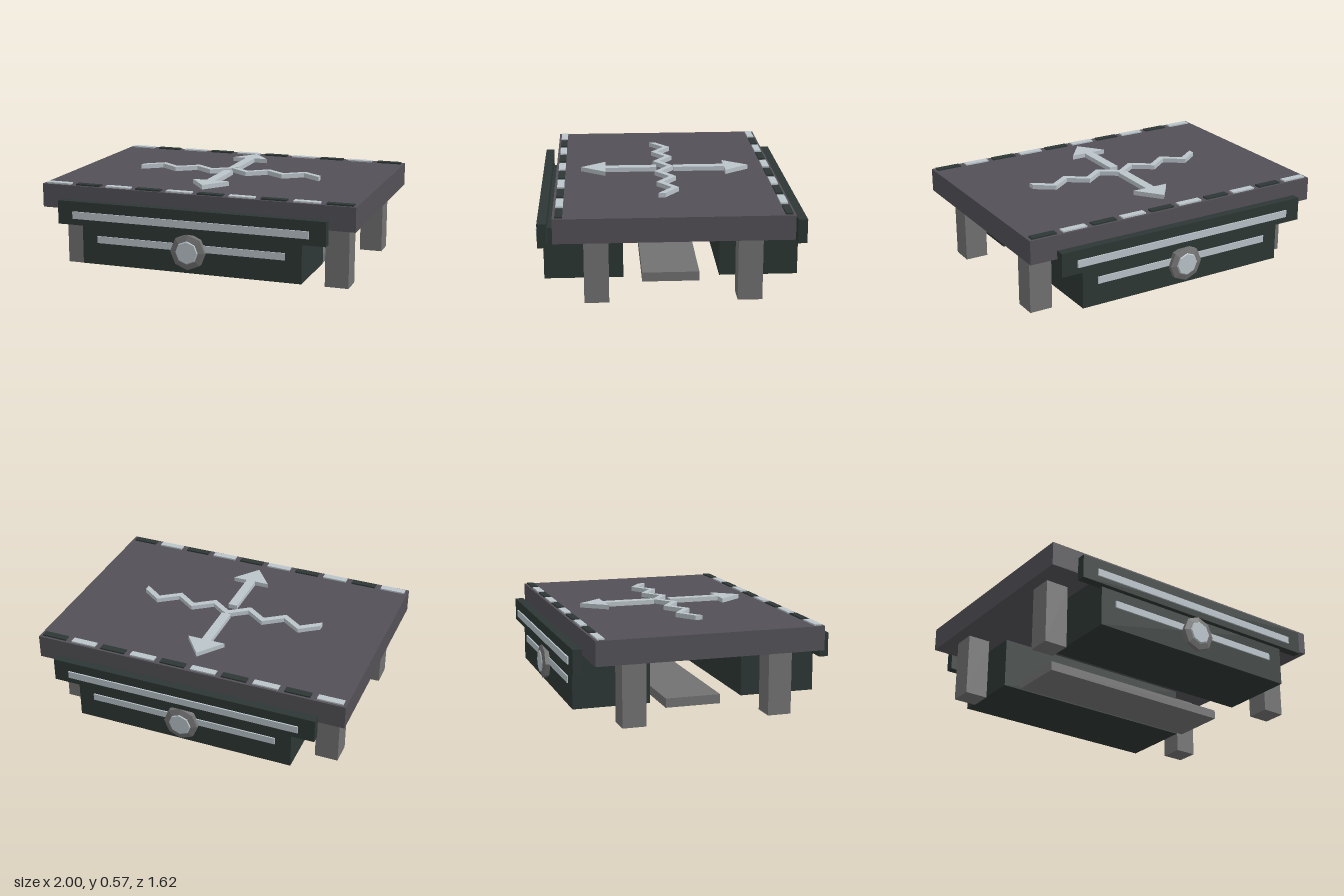
import * as THREE from 'three';

const mat = (name, color) => {
  const m = new THREE.MeshStandardMaterial({ color });
  m.name = name;
  return m;
};

export function createModel() {
  const slate = mat('slate', 0x535157);
  const dark = mat('darkGreen', 0x2d3735);
  const pale = mat('paleSteel', 0xbac4ca);
  const grey = mat('grey', 0x727272);
  const model = new THREE.Group();
  model.name = 'table';

  const add = (parent, name, geometry, material) => {
    const mesh = new THREE.Mesh(geometry, material);
    mesh.name = name;
    parent.add(mesh);
    return mesh;
  };
  // Box given by its minimum and maximum along each axis
  const box = (parent, name, material, [x0, x1], [y0, y1], [z0, z1]) => {
    const mesh = add(parent, name, new THREE.BoxGeometry(x1 - x0, y1 - y0, z1 - z0), material);
    mesh.position.set((x0 + x1) / 2, (y0 + y1) / 2, (z0 + z1) / 2);
    return mesh;
  };
  // Flat inlay raised from the table top; points are (x, z)
  const inlay = (name, points) => {
    const shape = new THREE.Shape(points.map(([x, z]) => new THREE.Vector2(x, -z)));
    const geometry = new THREE.ExtrudeGeometry(shape, { depth: 0.028, bevelEnabled: false });
    geometry.rotateX(-Math.PI / 2);
    add(model, name, geometry, pale).position.y = 0.543;
  };

  // Table top, low shelf and legs
  box(model, 'tableTop', slate, [-1, 1], [0.395, 0.543], [-0.7, 0.7]);
  box(model, 'lowerShelf', grey, [-0.65, 0.65], [0.022, 0.08], [-0.175, 0.175]);
  for (const sx of [-1, 1]) for (const sz of [-1, 1]) {
    box(model, 'leg', grey, [-0.073, 0.073], [0, 0.395], [-0.073, 0.073])
      .position.set(sx * 0.85, 0.1975, sz * 0.452);
  }

  // Alternating dashes along both long edges
  for (const sz of [-1, 1]) for (let i = 0; i < 10; i++) {
    box(model, 'edgeDash', i % 2 ? dark : pale, [-0.08, 0.08], [0, 0.009], [-0.022, 0.022])
      .position.set(-0.9 + i * 0.2, 0.5475, sz * 0.663);
  }

  // Arrows pointing to the front and back
  for (const s of [-1, 1]) {
    const points = [[-0.03, 0.055], [-0.03, 0.383], [-0.12, 0.383], [0, 0.54],
      [0.12, 0.383], [0.03, 0.383], [0.03, 0.055]];
    inlay('arrow', points.map(([x, z]) => [x, s * z]));
  }

  // Zigzag across the middle
  const upper = [], lower = [];
  for (let i = 0; i <= 10; i++) {
    const x = -0.605 + i * 0.121, z = i % 2 ? -0.037 : 0.05;
    upper.push([x, z - 0.022]);
    lower.unshift([x, z + 0.022]);
  }
  inlay('zigzag', [...upper, ...lower]);

  // Drawer unit with rail, strips and faceted knob, on both long sides
  for (const turn of [0, Math.PI]) {
    const unit = new THREE.Group();
    unit.name = turn ? 'backDrawer' : 'frontDrawer';
    unit.rotation.y = turn;
    model.add(unit);
    box(unit, 'drawerBody', dark, [-0.7, 0.7], [0.075, 0.395], [0.29, 0.765]);
    box(unit, 'rail', dark, [-0.85, 0.85], [0.32, 0.467], [0.74, 0.795]);
    box(unit, 'railStrip', pale, [-0.75, 0.75], [0.36, 0.405], [0.795, 0.804]);
    box(unit, 'drawerStrip', pale, [-0.6, 0.6], [0.212, 0.255], [0.765, 0.773]);

    const knob = new THREE.Group();
    knob.name = 'knob';
    knob.position.set(0, 0.212, 0.765);
    knob.rotation.x = Math.PI / 2;
    unit.add(knob);
    const facet = (name, material, rTop, rBottom, y0, y1) => {
      const g = new THREE.CylinderGeometry(rTop, rBottom, y1 - y0, 8).toNonIndexed();
      g.computeVertexNormals();
      add(knob, name, g, material).position.y = (y0 + y1) / 2;
    };
    facet('knobBase', grey, 0.11, 0.11, 0, 0.03);
    facet('knobBevel', grey, 0.075, 0.11, 0.03, 0.041);
    facet('knobFace', pale, 0.066, 0.072, 0.041, 0.047);
  }
  return model;
}
